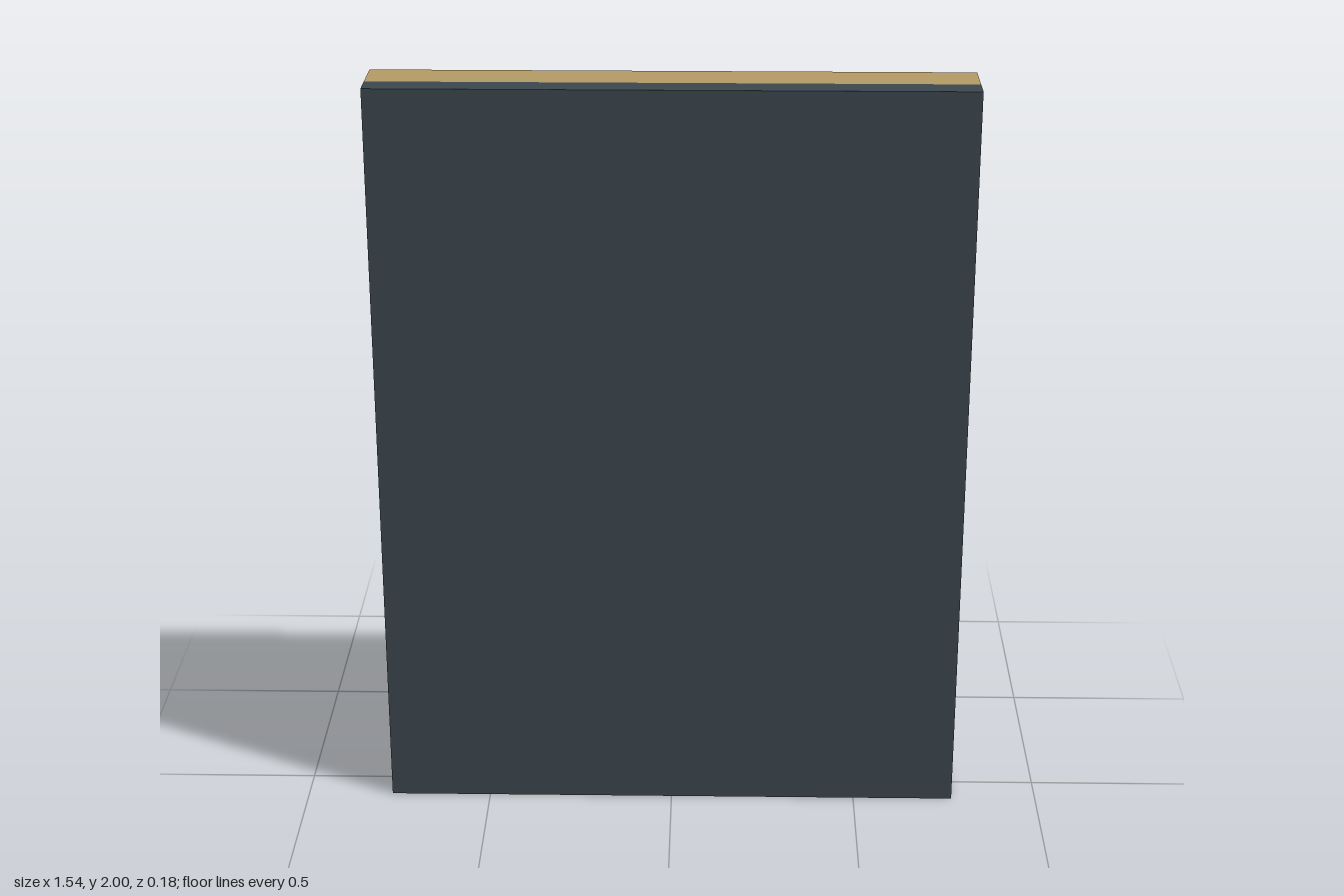
import * as THREE from 'three';

const W = 1.54, H = 2, BAR = 0.1;           // outer size and frame bar width
const BACK = -0.092, JOIN = 0.023, FRONT = 0.092; // depth planes

function material(name, color) {
  const m = new THREE.MeshStandardMaterial({ color });
  m.name = name;
  return m;
}

// Box spanning z0..z1, centred on the panel
function slab(name, w, h, z0, z1, mat) {
  const mesh = new THREE.Mesh(new THREE.BoxGeometry(w, h, z1 - z0), mat);
  mesh.position.set(0, H / 2, (z0 + z1) / 2);
  mesh.name = name;
  return mesh;
}

function rectangle(path, w, h) {
  path.moveTo(-w / 2, -h / 2);
  path.lineTo(w / 2, -h / 2);
  path.lineTo(w / 2, h / 2);
  path.lineTo(-w / 2, h / 2);
  path.closePath();
  return path;
}

export function createModel() {
  const group = new THREE.Group();
  const slate = material('dark slate', 0x3b474e);
  const wood = material('wood', 0xb59b65);
  const canvas = material('raw canvas', 0xdacdac);

  // Painted front panel
  group.add(slab('frontPanel', W, H, JOIN, FRONT, slate));

  // Wooden stretcher frame, open at the back
  const outline = rectangle(new THREE.Shape(), W, H);
  outline.holes.push(rectangle(new THREE.Path(), W - 2 * BAR, H - 2 * BAR));
  const frame = new THREE.Mesh(
    new THREE.ExtrudeGeometry(outline, { depth: JOIN - BACK, bevelEnabled: false }), wood);
  frame.position.set(0, H / 2, BACK);
  frame.name = 'stretcherFrame';
  group.add(frame);

  // Unpainted backing recessed inside the frame
  group.add(slab('canvasBacking', W - 2 * BAR, H - 2 * BAR, -0.015, JOIN, canvas));

  return group;
}
